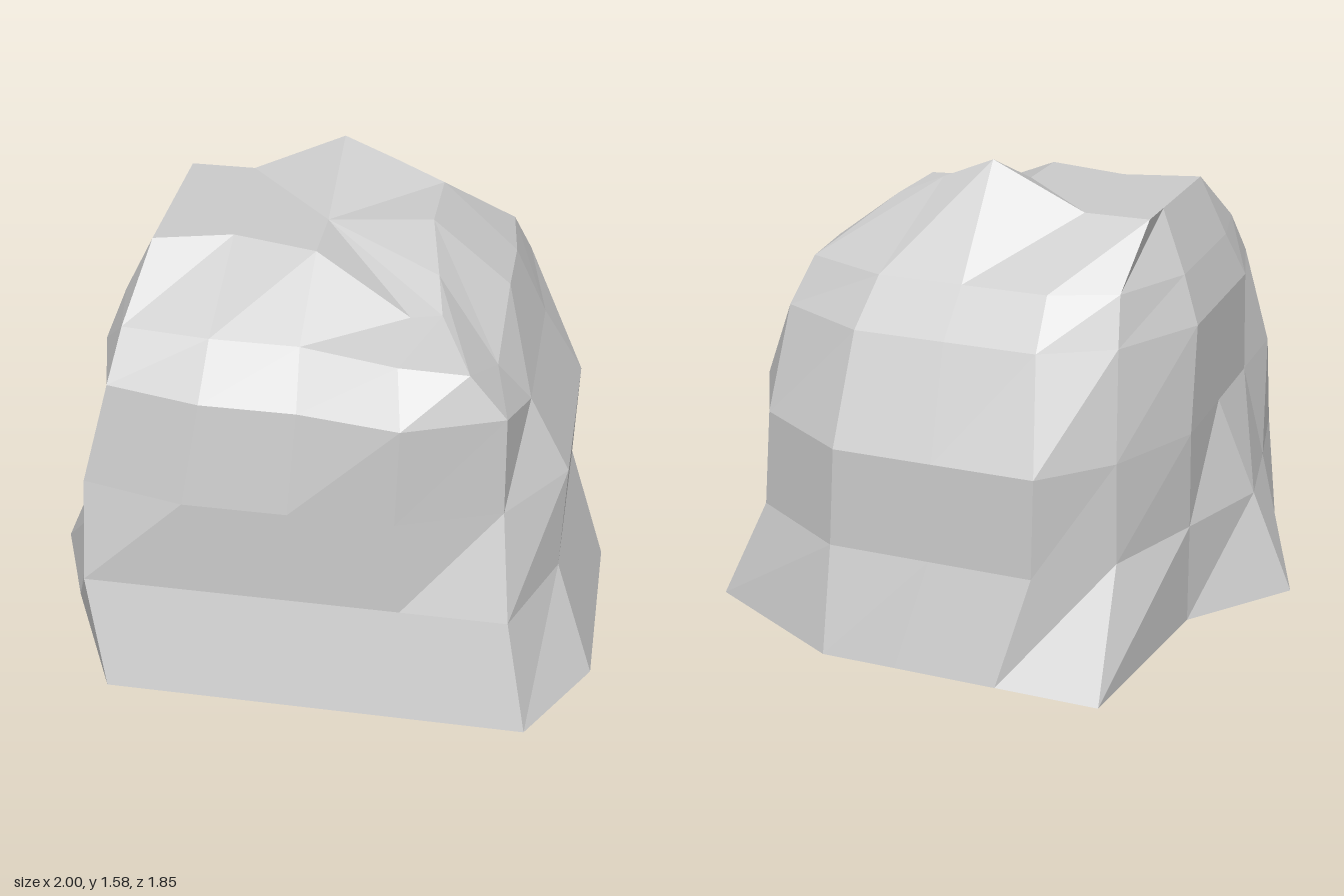
import * as THREE from 'three';

// Courses from the ground up: height, x and z extents, and the outward
// bulge of the front, left, back and right sides
const COURSES = [
  { y: 0, x: [-0.63, 0.8], z: [-0.93, 0.92], bulge: [0, 0.2, 0, 0] },
  { y: 0.36, x: [-0.72, 0.72], z: [-0.61, 0.81], bulge: [0, 0.14, 0.22, 0] },
  { y: 0.71, x: [-0.72, 0.69], z: [-0.61, 0.73], bulge: [0.08, 0.18, 0.22, 0] },
  { y: 1.07, x: [-0.63, 0.65], z: [-0.5, 0.69], bulge: [0.07, 0.08, 0.16, 0.08] },
  { y: 1.23, x: [-0.6, 0.59], z: [-0.42, 0.58], bulge: [0.03, 0.03, 0.12, 0.05] },
  { y: 1.43, x: [-0.55, 0.35], z: [-0.25, 0.33], bulge: [0, 0, 0, 0] },
];

const SIDE_STEPS = 4;
const OUTWARD = [[0, 1], [1, 0], [0, -1], [-1, 0]];

// Sixteen points round one course, anticlockwise from above
function courseRing({ y, x, z, bulge }) {
  const corners = [[x[0], z[1]], [x[1], z[1]], [x[1], z[0]], [x[0], z[0]]]
    .map(([cx, cz]) => new THREE.Vector3(cx, y, cz));
  return corners.flatMap((corner, side) => {
    const out = new THREE.Vector3(OUTWARD[side][0], 0, OUTWARD[side][1]);
    return Array.from({ length: SIDE_STEPS }, (_, i) => corner.clone()
      .lerp(corners[(side + 1) % 4], i / SIDE_STEPS)
      .addScaledVector(out, i > 0 ? bulge[side] : 0));
  });
}

// Irregular features, each pulling one ring point to a new place
function shapeFeatures(rings) {
  const pull = (course, i, x, z, y = COURSES[course].y) => rings[course][i].set(x, y, z);
  // Spreading foot
  pull(0, 5, 1, 0.57);
  pull(0, 6, 1, 0.2);
  pull(0, 7, 1, -0.13);
  pull(0, 8, 0.88, -0.65);
  pull(0, 9, 0.35, -0.93);
  // Notch and spur on the right
  pull(0, 13, -0.72, -0.25);
  pull(0, 14, -1, 0.1);
  pull(0, 15, -0.86, 0.45);
  pull(1, 14, -0.85, 0.1);
  pull(1, 15, -0.79, 0.45);
  // Rear right edge drawn in above the notch
  pull(1, 12, -0.58, -0.62);
  pull(2, 12, -0.57, -0.61);
  pull(3, 12, -0.54, -0.52);
  pull(4, 12, -0.52, -0.45);
  // Sagging left shoulder
  for (const i of [5, 6, 7]) rings[3][i].y = 0.98;
  pull(4, 5, 0.62, 0.46, 1.14);
  // Jutting front ledge
  pull(2, 4, 0.68, 0.68);
  pull(3, 3, 0.35, 0.81);
  pull(3, 4, 0.675, 0.68);
  pull(4, 3, 0.32, 0.67, 1.22);
  pull(4, 4, 0.55, 0.67, 1.215);
  pull(5, 1, -0.29, 0.26);
  pull(5, 2, 0, 0.33);
  pull(5, 3, 0.33, 0.45, 1.28);
  pull(5, 4, 0.43, 0.42, 1.28);
  pull(5, 5, 0.4, 0.28, 1.35);
  // Peak on the rear ridge
  pull(5, 9, 0.18, -0.25, 1.505);
  pull(5, 10, 0, -0.25, 1.58);
}

// Stack the courses and close both ends with fans
function boulderGeometry() {
  const rings = COURSES.map(courseRing);
  shapeFeatures(rings);
  const top = rings[rings.length - 1];
  const baseCentre = new THREE.Vector3();
  const topCentre = new THREE.Vector3(0, 1.43, 0.1);
  const points = [];
  for (let i = 0; i < top.length; i++) {
    const j = (i + 1) % top.length;
    for (let r = 0; r < rings.length - 1; r++) {
      const [lower, upper] = [rings[r], rings[r + 1]];
      points.push(lower[i], lower[j], upper[j], lower[i], upper[j], upper[i]);
    }
    points.push(baseCentre, rings[0][j], rings[0][i]);
    points.push(topCentre, top[i], top[j]);
  }
  const geometry = new THREE.BufferGeometry().setFromPoints(points);
  geometry.computeVertexNormals();
  return geometry;
}

export function createModel() {
  const model = new THREE.Group();
  model.name = 'rock';
  const material = new THREE.MeshStandardMaterial({ color: 0xcccccc, flatShading: true });
  const boulder = new THREE.Mesh(boulderGeometry(), material);
  boulder.name = 'boulder';
  model.add(boulder);
  return model;
}
